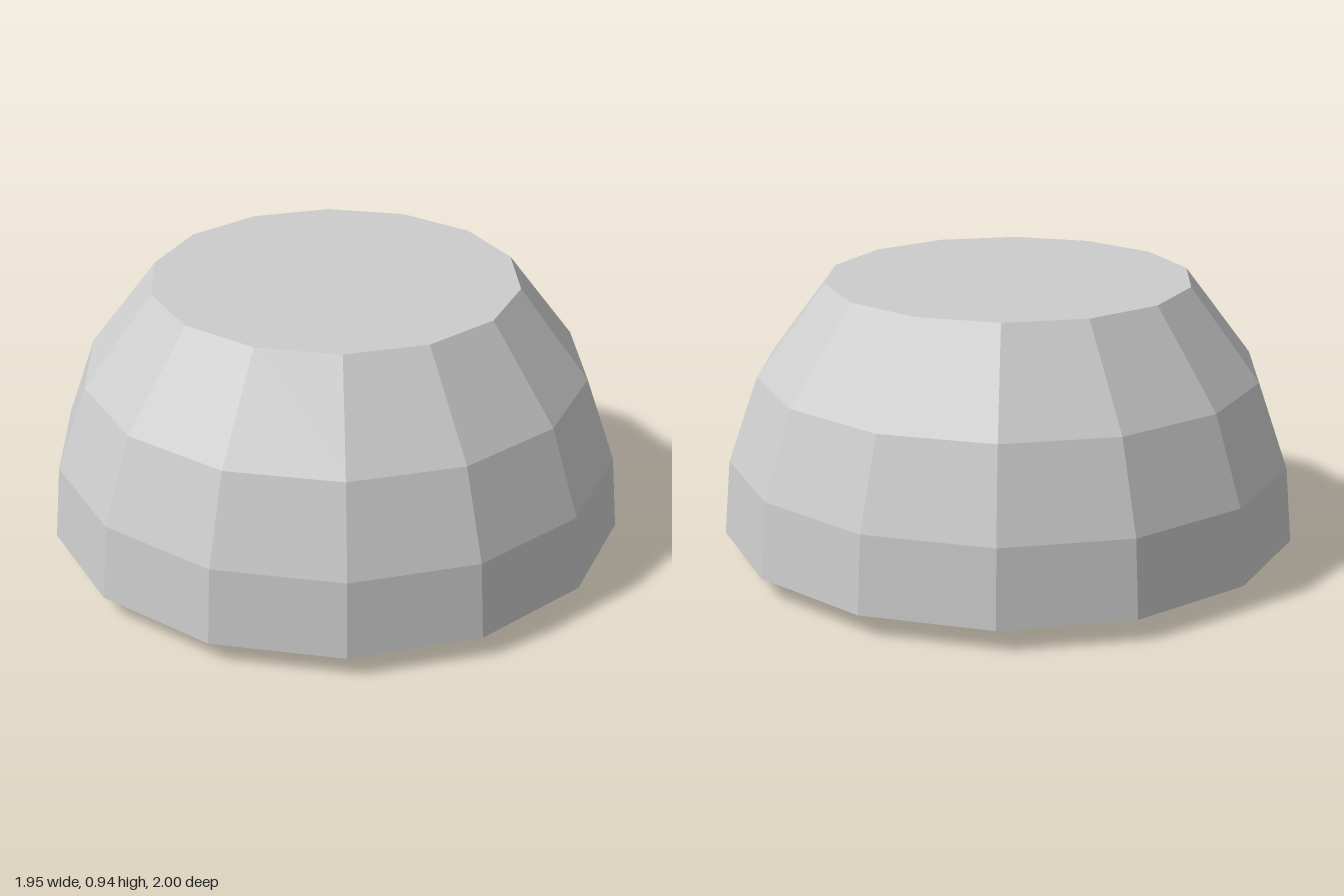
import * as THREE from 'three';

const SIDES = 14;

// Faceted dome, open below, with a flat closed top
function makeDome(name, profile, material) {
  const points = profile.map(([r, y]) => new THREE.Vector2(r, y));
  points.push(new THREE.Vector2(0, profile[profile.length - 1][1]));
  const mesh = new THREE.Mesh(new THREE.LatheGeometry(points, SIDES), material);
  mesh.name = name;
  return mesh;
}

// Thin horizontal plate
function makePlate(name, width, depth, position, material) {
  const mesh = new THREE.Mesh(new THREE.BoxGeometry(width, 0.008, depth), material);
  mesh.name = name;
  mesh.position.set(...position);
  return mesh;
}

export function createModel() {
  const group = new THREE.Group();
  group.name = 'nestedDomes';

  const grey = new THREE.MeshStandardMaterial({
    color: 0xcccccc, flatShading: true, side: THREE.DoubleSide,
  });
  grey.name = 'light grey';

  // Outer shell
  const rim = 0.075;
  const outer = [[1, rim], [0.975, 0.335], [0.87, 0.63], [0.63, 0.945]];
  group.add(makeDome('outerShell', outer, grey));

  // Inner shell, a narrower dome that reaches the ground
  const inner = outer.map(([r, y]) => [r * 0.757, y - rim]);
  group.add(makeDome('innerShell', inner, grey));

  // Plates inside the opening
  group.add(makePlate('centrePlate', 0.5, 0.22, [-0.01, 0.075, 0], grey));
  group.add(makePlate('sidePlate', 0.72, 0.3, [0.42, 0.13, -0.41], grey));

  return group;
}
